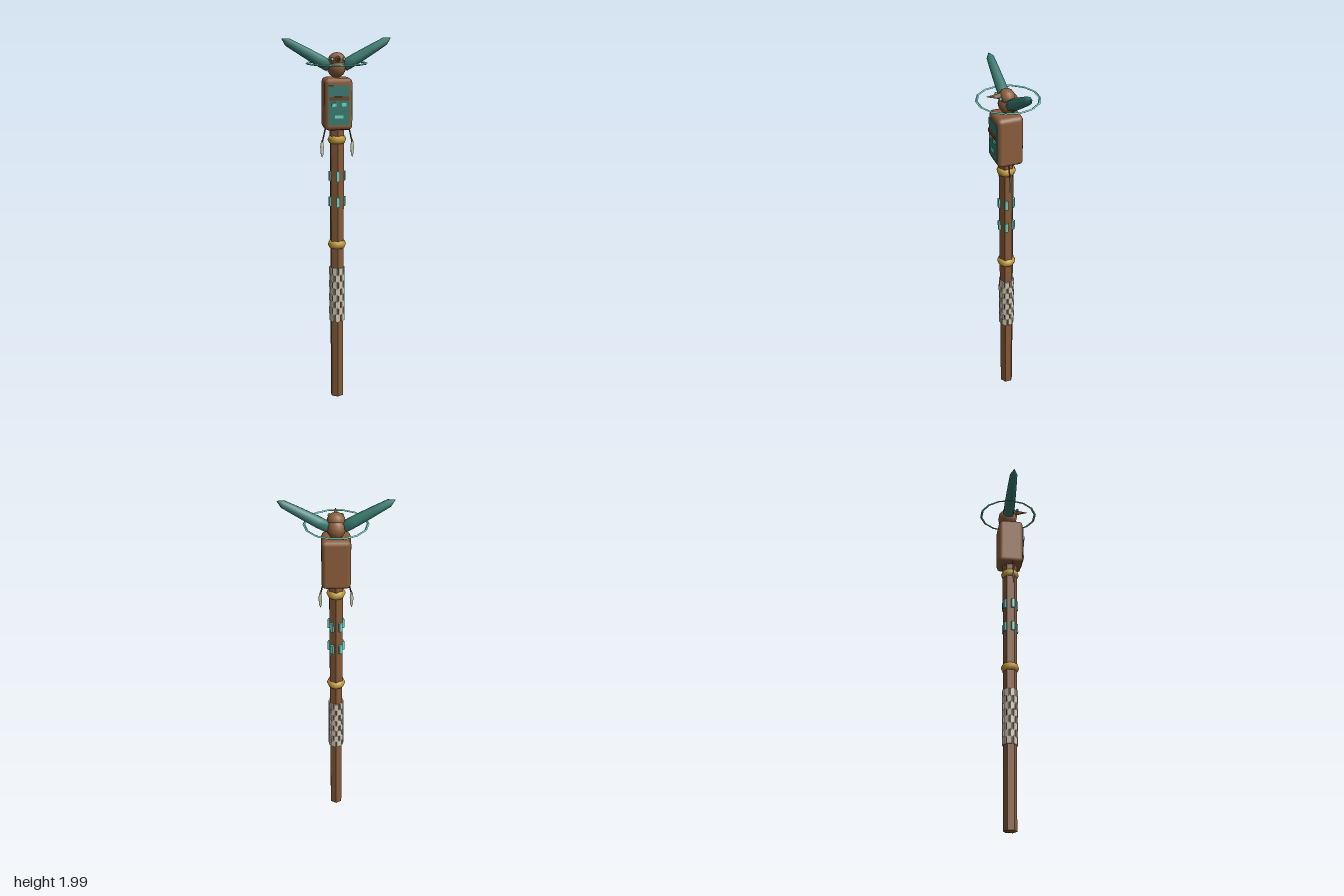
import * as THREE from 'three';
import { RoundedBoxGeometry } from 'three/addons/geometries/RoundedBoxGeometry.js';

const mat = (color, flatShading = false) => new THREE.MeshStandardMaterial({ color, flatShading });
const BROWN = mat(0x8b5e3c), BARK = mat(0x855a39, true), TEAL = mat(0x37796f), JADE = mat(0x6fd8c6, true);
const DARK = mat(0x6b4527), GOLD = mat(0xc29a3a), BONE = mat(0xd0c8b4, true);
const SHAFT_Z = 0.011;

export function createModel() {
  const model = new THREE.Group();

  function add(name, geometry, material, x = 0, y = 0, z = 0, parent = model) {
    const mesh = new THREE.Mesh(geometry, material);
    mesh.name = name;
    mesh.position.set(x, y, z);
    parent.add(mesh);
    return mesh;
  }

  // Ring of small plates standing around the shaft
  function plateRing(name, count, y, radius, size, material, turn = 0) {
    const ring = new THREE.Group();
    ring.name = name;
    ring.position.set(0, y, SHAFT_Z);
    for (let i = 0; i < count; i++) {
      const a = turn + (i / count) * Math.PI * 2;
      const plate = add(name + 'Plate', new THREE.BoxGeometry(...size), material,
        Math.sin(a) * radius, 0, Math.cos(a) * radius, ring);
      plate.rotation.y = a;
    }
    model.add(ring);
  }

  // Six-sided shaft, a little wider at the top
  add('shaft', new THREE.CylinderGeometry(0.041, 0.036, 1.54, 6), BARK, 0, 0.77, SHAFT_Z);

  // Gold collars
  for (const y of [0.89, 1.465]) {
    const collar = add('collar', new THREE.TorusGeometry(0.024, 0.026, 8, 12), GOLD, 0, y, SHAFT_Z);
    collar.rotation.x = Math.PI / 2;
  }

  // Bone grip wrap in staggered rows
  for (let i = 0; i < 8; i++) {
    plateRing('gripWrap', 7, 0.472 + i * 0.038, 0.037, [0.027, 0.042, 0.007], BONE, (i % 2) * Math.PI / 7);
  }

  // Inlaid stones
  for (const y of [1.13, 1.27]) plateRing('inlay', 5, y, 0.039, [0.018, 0.052, 0.012], JADE);

  // Block with a carved face panel
  add('block', new RoundedBoxGeometry(0.148, 0.27, 0.138, 1, 0.022), BROWN, 0, 1.655, 0.01);
  add('facePanel', new THREE.BoxGeometry(0.11, 0.205, 0.01), TEAL, 0, 1.652, 0.078);
  add('browBand', new THREE.BoxGeometry(0.1, 0.02, 0.014), DARK, 0, 1.688, 0.082);
  for (const s of [-1, 1]) {
    add('faceEye', new THREE.BoxGeometry(0.024, 0.018, 0.008), JADE, s * 0.027, 1.656, 0.084);
  }
  add('faceMouth', new THREE.BoxGeometry(0.044, 0.016, 0.008), JADE, 0, 1.593, 0.084);

  // Hanging cords and feathers
  for (const s of [-1, 1]) {
    const path = new THREE.LineCurve3(
      new THREE.Vector3(s * 0.06, 1.54, 0.02), new THREE.Vector3(s * 0.08, 1.45, 0.02));
    add('cord', new THREE.TubeGeometry(path, 1, 0.004, 5), DARK);
    const profile = [[0, -0.05], [0.008, -0.03], [0.011, 0.01], [0.007, 0.035], [0, 0.05]];
    const feather = add('feather', new THREE.LatheGeometry(profile.map(p => new THREE.Vector2(...p)), 6),
      BONE, s * 0.081, 1.418, 0.02);
    feather.scale.z = 0.45;
  }

  // Bird body, head, beak and eyes
  const bird = new THREE.Group();
  bird.name = 'bird';
  model.add(bird);
  add('birdBody', new THREE.SphereGeometry(1, 10, 8), BROWN, 0, 1.842, -0.003, bird).scale.set(0.05, 0.055, 0.055);
  add('birdHead', new THREE.SphereGeometry(1, 10, 8), BROWN, 0, 1.88, 0.007, bird).scale.set(0.046, 0.04, 0.041);
  const beak = add('beak', new THREE.ConeGeometry(0.018, 0.08, 6), BROWN, 0, 1.891, 0.077, bird);
  beak.rotation.x = Math.PI / 2 - 0.1;
  for (const s of [-1, 1]) {
    add('birdEye', new THREE.SphereGeometry(0.01, 6, 5), JADE, s * 0.031, 1.886, 0.05, bird);
  }

  // Raised wings with blunt tips
  const wingProfile = [[0, 0], [0.03, 0], [0.031, 0.06], [0.026, 0.17], [0.021, 0.25], [0, 0.285]];
  for (const s of [-1, 1]) {
    const wing = add('wing', new THREE.LatheGeometry(wingProfile.map(p => new THREE.Vector2(...p)), 8),
      TEAL, s * 0.04, 1.848, -0.002, bird);
    wing.rotation.z = -s * Math.PI / 3;
  }

  // Thin halo ring
  const halo = add('halo', new THREE.TorusGeometry(0.157, 0.0065, 4, 14), JADE, 0, 1.862, 0);
  halo.rotation.x = Math.PI / 2;
  halo.scale.z = 0.7;

  return model;
}
